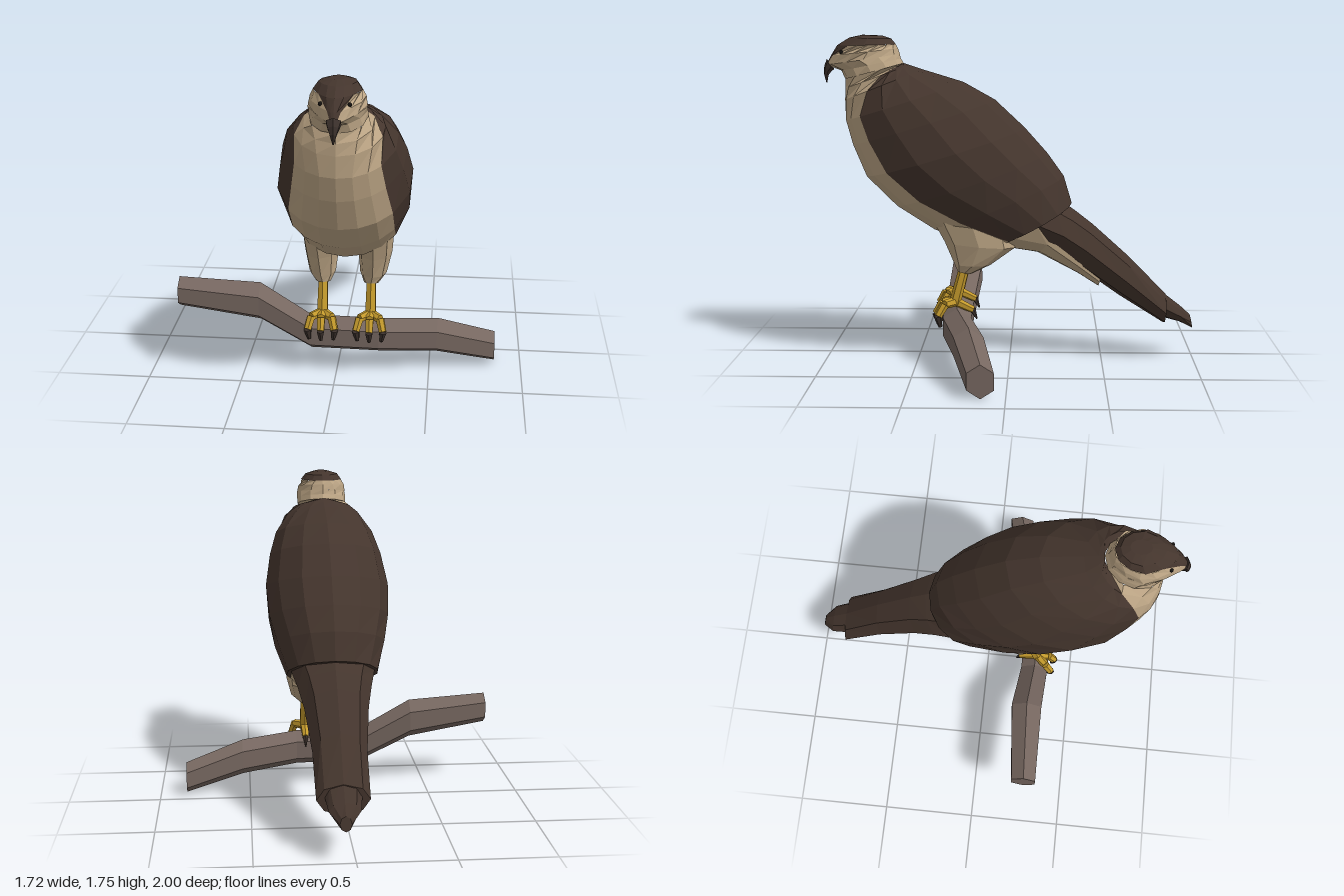
import * as THREE from 'three';

const mat = (name, color) => {
  const m = new THREE.MeshStandardMaterial({ color });
  m.name = name;
  return m;
};

const V = (x, y, z) => new THREE.Vector3(x, y, z);
const RAD = Math.PI / 180;

// Flat-faced skin over a list of rings, with optional end caps
function skin(rings, capStart = true, capEnd = true) {
  const out = [];
  const tri = (...ps) => ps.forEach((p) => out.push(p.x, p.y, p.z));
  const n = rings[0].length - 1;
  for (let i = 0; i < rings.length - 1; i++) {
    const a = rings[i], b = rings[i + 1];
    for (let j = 0; j < n; j++) {
      tri(a[j], b[j], a[j + 1]);
      tri(a[j + 1], b[j], b[j + 1]);
    }
  }
  const fan = (r, flip) => {
    const c = V(0, 0, 0);
    for (let j = 0; j < n; j++) c.addScaledVector(r[j], 1 / n);
    for (let j = 0; j < n; j++) flip ? tri(c, r[j + 1], r[j]) : tri(c, r[j], r[j + 1]);
  };
  if (capStart) fan(rings[0], false);
  if (capEnd) fan(rings[rings.length - 1], true);
  const g = new THREE.BufferGeometry();
  g.setAttribute('position', new THREE.Float32BufferAttribute(out, 3));
  g.computeVertexNormals();
  return g;
}

// Elliptical ring (or arc, degrees) between a front point and a back point.
// Section: [front z, front y, back z, back y, half width, split angle, front taper]
function ring([fz, fy, bz, by, w, , taper = 0], from, to, n, cx = 0) {
  return Array.from({ length: n + 1 }, (_, j) => {
    const a = (from + ((to - from) * j) / n) * RAD;
    const c = Math.cos(a) / 2;
    const x = w * Math.sin(a) * (1 - taper * Math.max(0, 2 * c));
    return V(cx + x, (fy + by) / 2 + (fy - by) * c, (fz + bz) / 2 + (fz - bz) * c);
  });
}
const loft = (secs, n, cx = 0) => skin(secs.map((s) => ring(s, 0, 360, n, cx)));
const frontArc = (secs, n) => skin(secs.map((s) => ring(s, -s[5], s[5], n)), false, false);
const backArc = (secs, n, cap) => skin(secs.map((s) => ring(s, s[5], 360 - s[5], n)), false, cap);

// Tapered rod between two points
function rod(p, q, r1, r2, sides = 6) {
  const d = q.clone().sub(p);
  const g = new THREE.CylinderGeometry(r2, r1, d.length(), sides).toNonIndexed();
  g.computeVertexNormals();
  g.applyQuaternion(new THREE.Quaternion().setFromUnitVectors(V(0, 1, 0), d.clone().normalize()));
  return g.translate((p.x + q.x) / 2, (p.y + q.y) / 2, (p.z + q.z) / 2);
}

export function createModel() {
  const brown = mat('darkBrownFeathers', 0x44352d);
  const tan = mat('tanFeathers', 0xbba484);
  const yellow = mat('yellowSkin', 0xc49a2c);
  const horn = mat('darkHorn', 0x3e332e);
  const bark = mat('bark', 0x766760);
  const black = mat('eyeBlack', 0x14110f);

  const model = new THREE.Group();
  const bird = new THREE.Group();
  bird.name = 'bird';
  bird.position.x = 0.05;
  model.add(bird);
  const add = (name, geo, m, parent = bird) => {
    const mesh = new THREE.Mesh(geo, m);
    mesh.name = name;
    parent.add(mesh);
    return mesh;
  };

  // Torso: tan breast in front, folded wings wrapping the back
  const torso = [
    [0.885, 1.52, 0.57, 1.605, 0.142, 165],
    [0.885, 1.47, 0.54, 1.595, 0.175, 104],
    [0.888, 1.41, 0.47, 1.572, 0.222, 73],
    [0.885, 1.3, 0.25, 1.505, 0.282, 48],
    [0.85, 1.17, 0.08, 1.41, 0.32, 46],
    [0.78, 1.0, -0.08, 1.26, 0.35, 48],
    [0.62, 0.84, -0.2, 1.125, 0.338, 51],
    [0.42, 0.71, -0.29, 1.0, 0.305, 58],
    [0.1, 0.62, -0.335, 0.85, 0.25, 57],
  ];
  add('breast', frontArc(torso, 6), tan);
  add('foldedWings', backArc(torso, 10, true), brown);

  // Vent and feathers beneath the tail
  add('undertail', loft([
    [0.1, 0.62, -0.28, 0.83, 0.235],
    [-0.15, 0.58, -0.3, 0.78, 0.17],
    [-0.37, 0.465, -0.42, 0.6, 0.125],
    [-0.48, 0.395, -0.5, 0.5, 0.085],
  ], 10), tan);

  // Tail with a longer middle bundle
  add('tail', loft([
    [-0.03, 0.665, -0.29, 0.855, 0.225],
    [-0.22, 0.595, -0.36, 0.805, 0.195],
    [-0.37, 0.5, -0.45, 0.735, 0.168],
    [-0.6, 0.34, -0.65, 0.555, 0.14],
    [-0.84, 0.19, -0.85, 0.35, 0.135],
  ], 8), brown);
  add('tailTip', loft([
    [-0.8, 0.23, -0.8, 0.385, 0.1],
    [-0.93, 0.195, -0.93, 0.285, 0.08],
    [-1.0, 0.16, -0.985, 0.235, 0.03],
  ], 8), brown);

  // Head: tan face, dark crown running down the forehead to the beak
  const face = [
    [0.925, 1.7, 0.61, 1.705, 0.118, 58, 0.35],
    [0.96, 1.645, 0.6, 1.685, 0.137, 24, 0.45],
    [0.985, 1.595, 0.59, 1.655, 0.142, 12, 0.6],
  ];
  add('crown', loft([
    [0.79, 1.755, 0.68, 1.75, 0.04],
    [0.86, 1.74, 0.635, 1.735, 0.092, 0, 0.2],
    face[0],
  ], 12), brown);
  add('forehead', frontArc(face, 4), brown);
  add('face', backArc(face, 12, false), tan);
  add('neck', loft([face[2], [0.905, 1.565, 0.585, 1.63, 0.142, 0, 0.2], torso[0]], 12), tan);

  // Short hooked beak
  add('beak', loft([
    [0.983, 1.625, 0.945, 1.572, 0.04],
    [0.997, 1.59, 0.962, 1.557, 0.03],
    [1.0, 1.55, 0.975, 1.54, 0.018],
    [0.988, 1.5, 0.983, 1.5, 0.004],
  ], 6), horn);

  for (const s of [1, -1]) {
    const side = s > 0 ? 'left' : 'right';
    const x = s * 0.13;

    const eye = add(side + 'Eye', new THREE.SphereGeometry(0.011, 8, 6), black);
    eye.position.set(s * 0.068, 1.665, 0.893);

    // Feathered thigh
    add(side + 'Thigh', skin([
      ring([0.42, 0.8, 0.0, 0.84, 0.1], 0, 360, 8, s * 0.15),
      ring([0.345, 0.66, -0.03, 0.63, 0.092], 0, 360, 8, s * 0.145),
      ring([0.295, 0.54, 0.1, 0.535, 0.072], 0, 360, 8, s * 0.138),
      ring([0.28, 0.5, 0.2, 0.485, 0.04], 0, 360, 8, x),
    ]), tan);

    // Shank, arched toes and talons
    add(side + 'Shank', rod(V(x, 0.52, 0.242), V(x, 0.32, 0.295), 0.027, 0.032), yellow);
    const ankle = V(x, 0.33, 0.29);
    for (const d of [-1, 0, 1]) {
      const back = Math.abs(d) * 0.015;
      const knuckle = V(x + d * 0.055, 0.325, 0.36 - back);
      const tip = V(x + d * 0.072, 0.265, 0.395 - back);
      add(side + 'Toe', rod(ankle, knuckle, 0.027, 0.023), yellow);
      add(side + 'Toe', rod(knuckle, tip, 0.024, 0.021), yellow);
      add(side + 'Talon', rod(tip, V(x + d * 0.064, 0.205, tip.z - 0.012), 0.022, 0.01), horn);
    }
    add(side + 'HindToe', rod(ankle, V(x, 0.285, 0.195), 0.026, 0.019), yellow);
    add(side + 'HindTalon', rod(V(x, 0.288, 0.2), V(x, 0.235, 0.175), 0.018, 0.004), horn);
  }

  // Branch: crooked six-sided limb [x, y, z, radius]
  const path = [
    [-0.86, 0.417, 0.28, 0.085],
    [-0.42, 0.367, 0.26, 0.108],
    [-0.14, 0.21, 0.285, 0.098],
    [0.23, 0.203, 0.28, 0.098],
    [0.54, 0.177, 0.2, 0.1],
    [0.855, 0.087, 0.125, 0.087],
  ];
  add('branch', skin(path.map(([x, y, z, r]) => Array.from({ length: 7 }, (_, j) => {
    const a = j * 60 * RAD;
    return V(x, y + r * Math.cos(a), z - r * 0.9 * Math.sin(a));
  }))), bark, model);

  return model;
}
